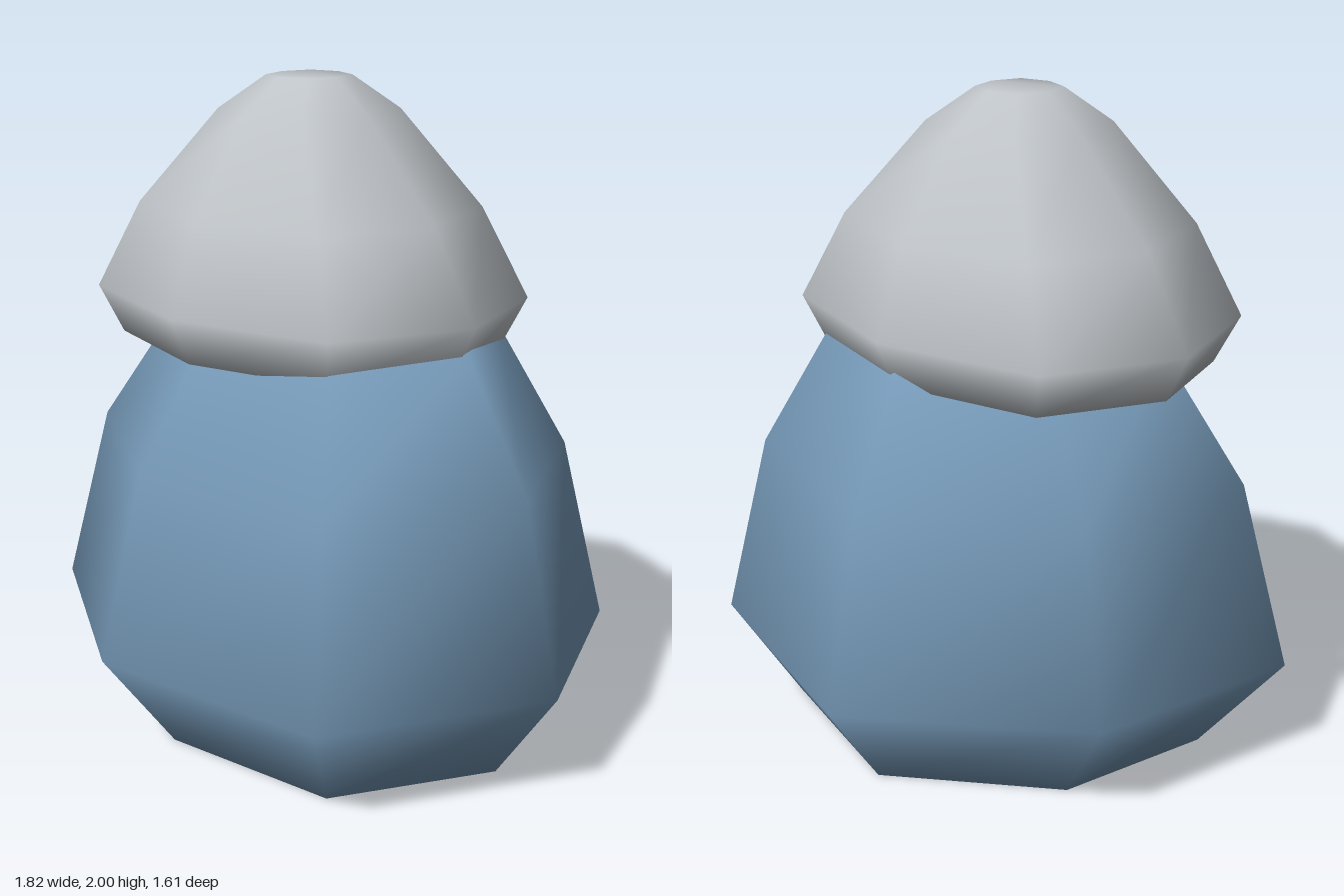
import * as THREE from 'three';

// Stacks scaled copies of an outline of [x, z] points into a closed, smooth stone.
// Each ring is [y, scaleX, scaleZ]; the outline runs from +x towards +z.
function stackRings(outline, rings, cx, cz) {
  const n = outline.length;
  const pos = [];
  const idx = [];
  for (const [y, sx, sz] of rings) {
    for (const [x, z] of outline) pos.push(cx + x * sx, y, cz + z * sz);
  }
  // side walls
  for (let r = 0; r < rings.length - 1; r++) {
    for (let i = 0; i < n; i++) {
      const a = r * n + i;
      const b = r * n + ((i + 1) % n);
      idx.push(a, a + n, b, b, a + n, b + n);
    }
  }
  // flat bottom and top
  const t = (rings.length - 1) * n;
  for (let i = 1; i < n - 1; i++) {
    idx.push(0, i, i + 1, t, t + i + 1, t + i);
  }
  const g = new THREE.BufferGeometry();
  g.setAttribute('position', new THREE.Float32BufferAttribute(pos, 3));
  g.setIndex(idx);
  g.computeVertexNormals();
  return g;
}

export function createModel() {
  const model = new THREE.Group();
  const blue = new THREE.MeshStandardMaterial({ name: 'dustyBlue', color: 0x7497b5 });
  const grey = new THREE.MeshStandardMaterial({ name: 'paleGrey', color: 0xbfc4c8 });

  const add = (name, geometry, material) => {
    const mesh = new THREE.Mesh(geometry, material);
    mesh.name = name;
    model.add(mesh);
  };

  // Seven-sided lower stone, outline at its widest ring
  const lowerOutline = [
    [0.91, 0.03], [0.61, 0.70], [-0.21, 0.80], [-0.91, 0.40],
    [-0.83, -0.31], [-0.23, -0.81], [0.56, -0.59],
  ];
  const lowerRings = [[0, 0.74, 0.72], [0.31, 1, 1], [0.875, 0.85, 0.83], [1.255, 0.58, 0.57]];
  add('lowerStone', stackRings(lowerOutline, lowerRings, 0, 0), blue);

  // Eight-sided upper stone, set off to one side
  const upperOutline = [
    [0.685, 0], [0.52, 0.415], [0, 0.55], [-0.52, 0.415],
    [-0.685, 0], [-0.52, -0.415], [0, -0.55], [0.52, -0.415],
  ];
  const upperRings = [
    [1.195, 0.89, 0.88], [1.34, 1, 1], [1.61, 0.765, 0.82],
    [1.9, 0.365, 0.475], [2, 0.175, 0.22],
  ];
  add('upperStone', stackRings(upperOutline, upperRings, -0.115, 0.035), grey);
  return model;
}
